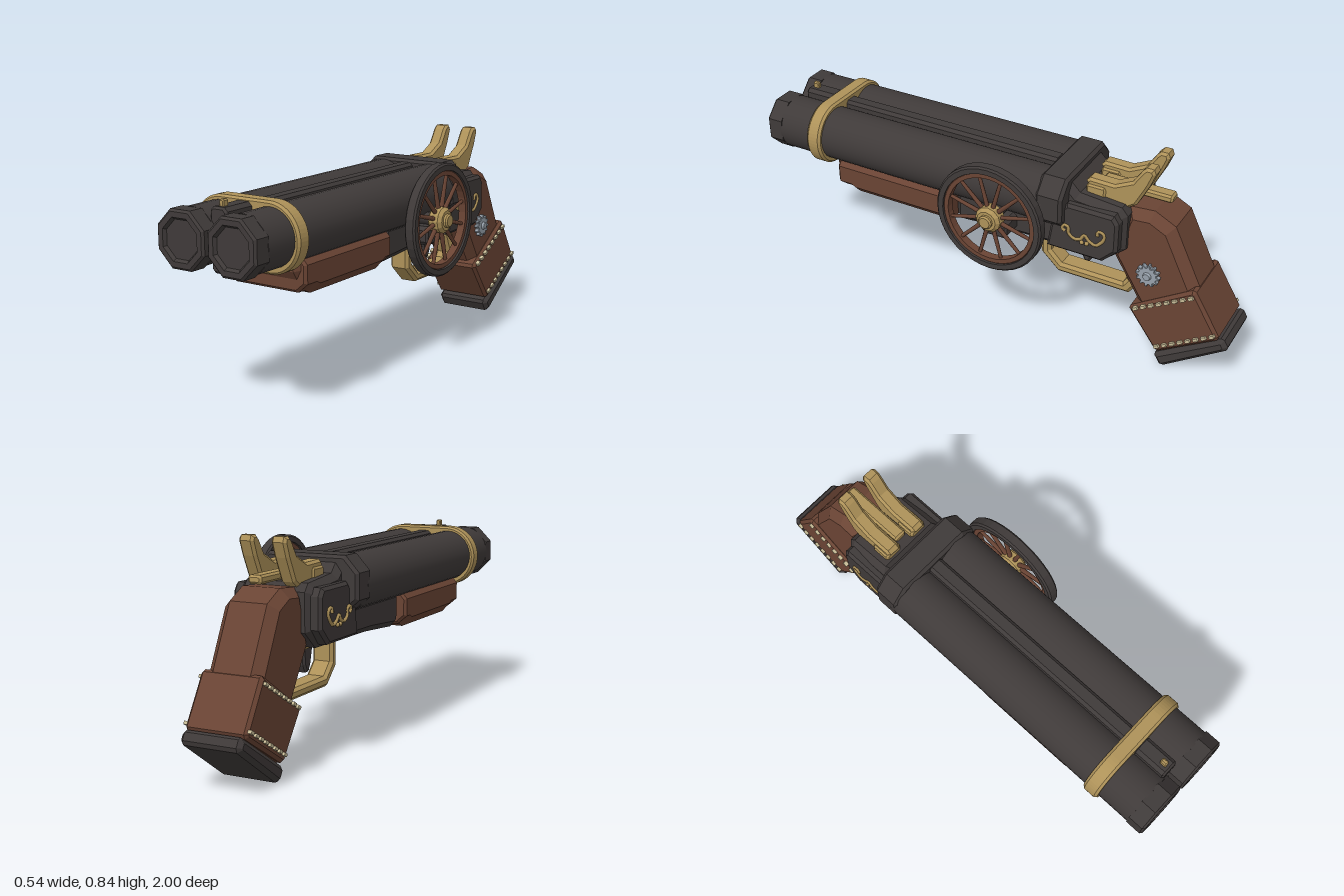
import * as THREE from 'three';

const mat = (name, color) => Object.assign(new THREE.MeshStandardMaterial({ color }), { name });

export function createModel() {
  const steel = mat('dark steel', 0x3f3a39);
  const brass = mat('brass', 0xae9259);
  const wood = mat('brown wood', 0x6a4434);
  const thread = mat('pale thread', 0xc9bd98);
  const silver = mat('silver', 0x98a2ac);

  const root = new THREE.Group();
  const gun = new THREE.Group();
  gun.name = 'gun';
  gun.position.x = -0.037;
  root.add(gun);

  const add = (name, geo, material, x = 0, y = 0, z = 0, parent = gun) => {
    const m = new THREE.Mesh(geo, material);
    m.name = name;
    m.position.set(x, y, z);
    parent.add(m);
    return m;
  };
  const flat = (geo) => {
    const g = geo.index ? geo.toNonIndexed() : geo;
    g.computeVertexNormals();
    return g;
  };
  const toShape = (pts, Kind = THREE.Shape) => new Kind(pts.map(([z, y]) => new THREE.Vector2(-z, y)));

  // Side outline given as [z, y], extruded across x with chamfered edges
  const slab = (pts, half, bevel = 0.01, hole) => {
    const s = toShape(pts);
    if (hole) s.holes.push(toShape(hole, THREE.Path));
    const g = new THREE.ExtrudeGeometry(s, {
      depth: 2 * (half - bevel), bevelEnabled: true, bevelThickness: bevel,
      bevelSize: bevel, bevelOffset: -bevel, bevelSegments: 1,
    });
    g.translate(0, 0, -(half - bevel));
    return g.rotateY(Math.PI / 2);
  };
  // Front outline given as [x, y], extruded along z
  const prism = (pts, z0, z1, bevel = 0.008) => {
    const s = new THREE.Shape(pts.map((p) => new THREE.Vector2(...p)));
    const g = new THREE.ExtrudeGeometry(s, {
      depth: z1 - z0 - 2 * bevel, bevelEnabled: true, bevelThickness: bevel,
      bevelSize: bevel, bevelOffset: -bevel, bevelSegments: 1,
    });
    return g.translate(0, 0, z0 + bevel);
  };
  const chamferBox = (w, y0, y1, c) => [
    [-w + c, y0], [w - c, y0], [w, y0 + c], [w, y1 - c], [w - c, y1], [-w + c, y1], [-w, y1 - c], [-w, y0 + c],
  ];
  // Turned part, profile [radius, along]
  const turned = (pts, sides, phase = 0) =>
    new THREE.LatheGeometry(pts.map((p) => new THREE.Vector2(...p)), sides, phase);

  // Barrels with octagonal muzzles
  for (const s of [-1, 1]) {
    add('barrel', new THREE.CylinderGeometry(0.107, 0.107, 1.2, 28).rotateX(Math.PI / 2), steel, s * 0.112, 0.637, 0.335);
    const muzzle = turned([[0, -0.07], [0.113, -0.07], [0.113, -0.008], [0.104, 0], [0.083, 0], [0.074, -0.012], [0, -0.012]], 8, Math.PI / 8);
    add('muzzle', flat(muzzle.rotateX(Math.PI / 2)), steel, s * 0.112, 0.637, 1);
  }

  // Ribs above and below the barrel joint, with front blocks
  for (const [y0, y1] of [[0.685, 0.742], [0.53, 0.61]])
    add('barrelRib', prism(chamferBox(0.032, y0, y1, 0.012), -0.24, 0.85), steel);
  add('upperRibBlock', prism(chamferBox(0.037, 0.685, 0.752, 0.014), 0.79, 0.93), steel);
  add('lowerRibBlock', prism(chamferBox(0.037, 0.52, 0.62, 0.014), 0.79, 0.93), steel);
  add('ribSpacer', new THREE.BoxGeometry(0.02, 0.09, 0.12), brass, 0, 0.65, 0.86);
  add('frontSight', prism(chamferBox(0.01, 0.745, 0.776, 0.005), 0.885, 0.912, 0.004), brass);

  // Band around both barrels
  const band = new THREE.Shape();
  band.absarc(0.106, 0, 0.129, -Math.PI / 2, Math.PI / 2);
  band.absarc(-0.106, 0, 0.129, Math.PI / 2, Math.PI * 1.5);
  add('barrelBand', new THREE.ExtrudeGeometry(band, {
    depth: 0.045, bevelThickness: 0.01, bevelSize: 0.008, bevelOffset: -0.008, bevelSegments: 1, curveSegments: 14,
  }), brass, 0, 0.633, 0.74);

  // Wooden fore stock, tapered at the nose
  add('foreStock', slab([[0.71, 0.55], [0.71, 0.5], [0.665, 0.43], [0.615, 0.405], [0.2, 0.405], [0.15, 0.43], [0.15, 0.55]], 0.181, 0.04), wood);
  add('foreStockCore', prism([[-0.14, 0.42], [0.14, 0.42], [0.181, 0.455], [0.181, 0.525], [0.15, 0.56], [-0.15, 0.56], [-0.181, 0.525], [-0.181, 0.455]], 0.15, 0.69, 0.01), wood);

  // Receiver, breech and side plates
  add('receiver', slab([[0.15, 0.56], [0.15, 0.435], [0.12, 0.415], [-0.1, 0.43], [-0.5, 0.435], [-0.575, 0.5],
    [-0.575, 0.645], [-0.55, 0.675], [-0.38, 0.69], [-0.33, 0.74], [-0.24, 0.74], [-0.22, 0.56]], 0.15, 0.025), steel);
  add('breechBlock', prism([[-0.16, 0.54], [0.16, 0.54], [0.217, 0.59], [0.217, 0.69], [0.16, 0.752], [-0.16, 0.752], [-0.217, 0.69], [-0.217, 0.59]], -0.345, -0.235, 0.012), steel);

  const scroll = [[-0.35, 0.545], [-0.338, 0.555], [-0.345, 0.57], [-0.362, 0.566], [-0.365, 0.54], [-0.39, 0.522], [-0.415, 0.53],
    [-0.43, 0.55], [-0.45, 0.53], [-0.475, 0.52], [-0.495, 0.535], [-0.51, 0.56], [-0.505, 0.58], [-0.485, 0.582], [-0.482, 0.563]];
  for (const s of [-1, 1]) {
    add('sidePlate', slab([[-0.27, 0.45], [-0.5, 0.45], [-0.56, 0.51], [-0.56, 0.63], [-0.54, 0.66], [-0.35, 0.66], [-0.29, 0.58]], 0.03, 0.012), steel, s * 0.152);
    const curve = new THREE.CatmullRomCurve3(scroll.map(([z, y]) => new THREE.Vector3(s * 0.183, y, z)));
    add('scrollInlay', new THREE.TubeGeometry(curve, 48, 0.007, 5), brass);
    for (const z of [-0.42, -0.44]) add('inlayBead', new THREE.SphereGeometry(0.009, 8, 6), brass, s * 0.183, 0.515, z);
  }

  // Hammers and the lever between them
  for (const s of [-1, 1]) {
    add('hammer', slab([[-0.385, 0.725], [-0.40, 0.742], [-0.5, 0.74], [-0.57, 0.775], [-0.605, 0.83], [-0.62, 0.845], [-0.648, 0.845],
      [-0.656, 0.825], [-0.635, 0.77], [-0.59, 0.68], [-0.56, 0.66], [-0.43, 0.66]], 0.03, 0.01), brass, s * 0.066);
    add('hammerFoot', prism(chamferBox(0.037, 0.665, 0.72, 0.008), -0.47, -0.39), brass, s * 0.066);
  }
  add('topLever', prism(chamferBox(0.027, 0.682, 0.714, 0.008), -0.705, -0.42), brass);

  // Trigger and guard
  add('triggerGuard', slab(
    [[-0.18, 0.43], [-0.18, 0.305], [-0.255, 0.235], [-0.56, 0.235], [-0.6, 0.29], [-0.53, 0.43]], 0.044, 0.012,
    [[-0.222, 0.405], [-0.222, 0.325], [-0.27, 0.277], [-0.535, 0.277], [-0.55, 0.3], [-0.505, 0.405]]), brass);
  add('trigger', slab([[-0.325, 0.43], [-0.345, 0.34], [-0.36, 0.31], [-0.38, 0.31], [-0.395, 0.34], [-0.405, 0.43]], 0.022, 0.008), steel);

  // Grip, wrapped sleeve and butt cap
  add('grip', slab([[-0.56, 0.66], [-0.66, 0.668], [-0.745, 0.625], [-0.87, 0.37], [-0.64, 0.22], [-0.5, 0.447]], 0.11, 0.035), wood);
  add('gripSleeve', slab([[-0.845, 0.4], [-0.86, 0.395], [-0.963, 0.225], [-0.957, 0.208], [-0.73, 0.068], [-0.715, 0.072], [-0.6, 0.23], [-0.605, 0.245]], 0.124, 0.012), wood);
  add('capNeck', slab([[-0.94, 0.235], [-0.955, 0.2], [-0.75, 0.045], [-0.725, 0.09]], 0.105, 0.008), wood);
  add('buttCap', slab([[-0.97, 0.217], [-0.985, 0.213], [-1, 0.187], [-0.996, 0.17], [-0.755, 0.003], [-0.737, 0.003], [-0.715, 0.038], [-0.718, 0.054]], 0.122, 0.016), steel);

  // Two rows of stitches on both sides
  for (const s of [-1, 1])
    for (const [z0, y0, z1, y1] of [[-0.63, 0.247, -0.845, 0.372], [-0.728, 0.1, -0.94, 0.229]])
      for (let i = 0; i < 8; i++) {
        const t = i / 7;
        const stitch = add('stitch', new THREE.BoxGeometry(0.022, 0.012, 0.02), thread,
          s * 0.124, y0 + (y1 - y0) * t, z0 + (z1 - z0) * t);
        stitch.rotation.x = 0.53;
      }

  // Small gear on the grip's left side
  const teeth = [];
  for (let i = 0; i < 48; i++) {
    const a = (i / 48) * Math.PI * 2, r = i % 4 < 2 ? 0.048 : 0.037;
    teeth.push([Math.cos(a) * r, Math.sin(a) * r]);
  }
  add('gear', slab(teeth, 0.012, 0.002), silver, 0.116, 0.41, -0.667);
  add('gearHub', new THREE.CylinderGeometry(0.014, 0.018, 0.012, 10).rotateZ(-Math.PI / 2), silver, 0.132, 0.41, -0.667);

  // Spoked wheel on its axle
  const wheel = new THREE.Group();
  wheel.name = 'wheel';
  wheel.position.set(0.223, 0.56, -0.073);
  root.add(wheel);
  const ring = (name, ro, ri, h, c, material) => add(name, flat(turned(
    [[ri, -h], [ro - c, -h], [ro, -h + c], [ro, h - c], [ro - c, h], [ri, h], [ri, -h]], 36).rotateZ(-Math.PI / 2)), material, 0, 0, 0, wheel);
  ring('tyre', 0.224, 0.196, 0.023, 0.007, steel);
  ring('wheelRim', 0.197, 0.176, 0.016, 0.004, wood);
  for (let i = 0; i < 12; i++) {
    const spoke = new THREE.CylinderGeometry(0.007, 0.01, 0.16, 6).translate(0, 0.105, 0);
    add('spoke', spoke, wood, 0, 0, 0, wheel).rotation.x = ((i + 0.5) / 12) * Math.PI * 2;
  }
  const hub = turned([[0, -0.03], [0.04, -0.03], [0.053, -0.018], [0.053, 0.02], [0.04, 0.033], [0.028, 0.033], [0.028, 0.042], [0.022, 0.048], [0, 0.048]], 12);
  add('wheelHub', flat(hub.rotateZ(-Math.PI / 2)), brass, 0, 0, 0, wheel);
  add('axleBlock', slab([[0.055, 0.475], [0.04, 0.46], [-0.04, 0.46], [-0.055, 0.475], [-0.055, 0.52], [-0.04, 0.535], [0.04, 0.535], [0.055, 0.52]], 0.05, 0.008), steel, 0.187, 0, -0.073);
  add('axle', new THREE.CylinderGeometry(0.025, 0.025, 0.12, 10).rotateZ(-Math.PI / 2), steel, 0.18, 0.56, -0.073);
  return root;
}
